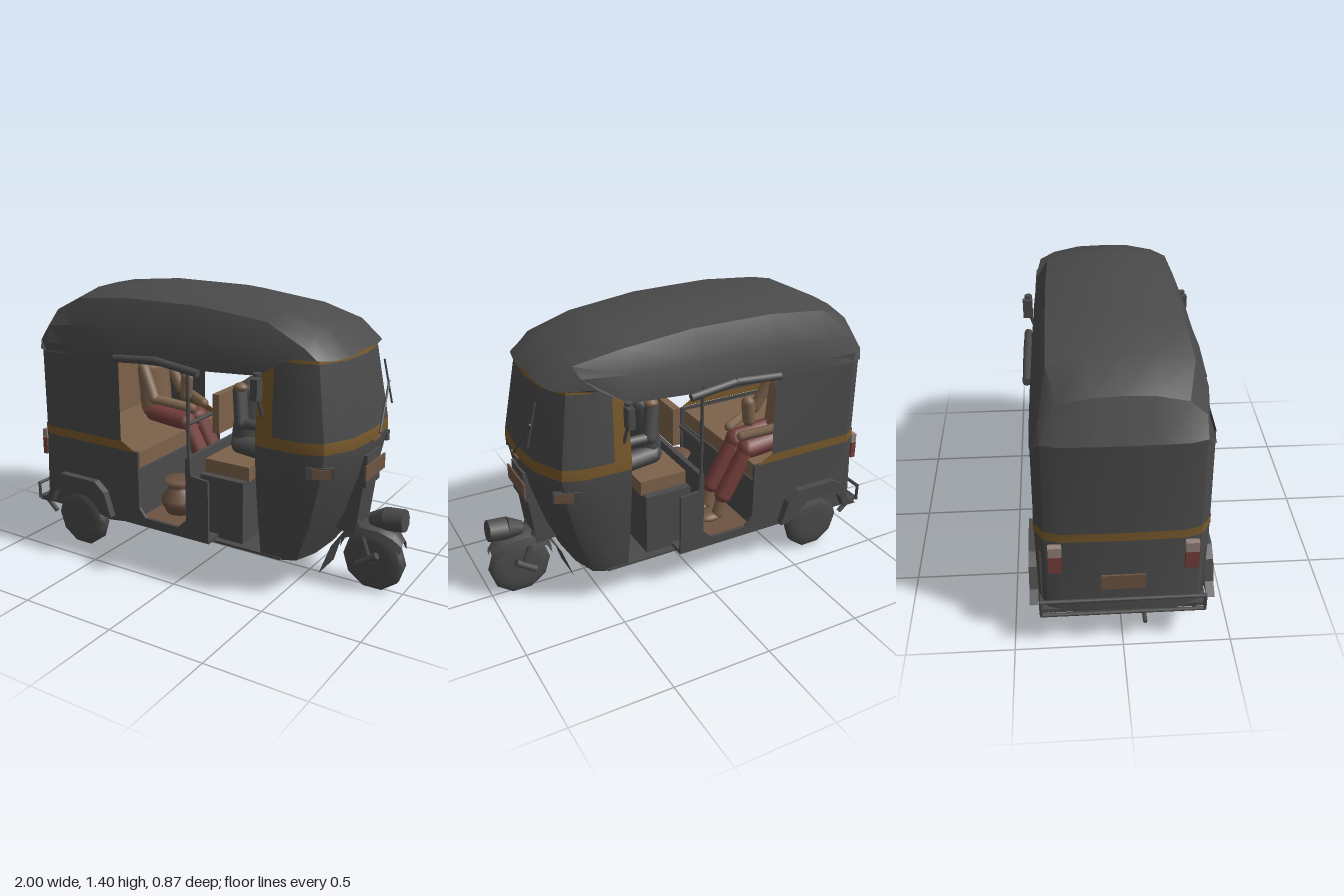
import * as THREE from 'three';
import { toCreasedNormals } from 'three/addons/utils/BufferGeometryUtils.js';

const flat = (name, color) => new THREE.MeshStandardMaterial({ name, color, side: THREE.DoubleSide });

export function createModel() {
  const root = new THREE.Group();
  root.name = 'autoRickshaw';
  const grey = flat('dark grey', 0x4a4a4a), gold = flat('gold', 0x78592b), tan = flat('tan', 0x7c624b),
    red = flat('dull red', 0x743f3b), brown = flat('brown', 0x6e5443), pale = flat('pale lamp', 0x94827a);
  const V = (p) => new THREE.Vector3(...p);

  function add(name, geo, mat, pos = [0, 0, 0], rot = [0, 0, 0], parent = root) {
    const m = new THREE.Mesh(geo, mat);
    m.name = name;
    m.position.set(...pos);
    m.rotation.set(...rot);
    parent.add(m);
    return m;
  }
  // box given by its min and max corners
  const box = (name, a, b, mat) => add(name, new THREE.BoxGeometry(b[0] - a[0], b[1] - a[1], b[2] - a[2]), mat,
    a.map((v, i) => (v + b[i]) / 2));
  // geometry built along y, laid between two points
  function between(name, geo, a, b, mat) {
    const m = add(name, geo, mat, V(a).add(V(b)).multiplyScalar(0.5).toArray());
    m.quaternion.setFromUnitVectors(new THREE.Vector3(0, 1, 0), V(b).sub(V(a)).normalize());
    return m;
  }
  const rod = (name, a, b, r, mat, r2 = r, n = 8) =>
    between(name, new THREE.CylinderGeometry(r2, r, V(a).distanceTo(V(b)), n), a, b, mat);
  const limb = (name, a, b, r, mat) =>
    between(name, new THREE.CapsuleGeometry(r, V(a).distanceTo(V(b)), 3, 8), a, b, mat);
  const ball = (name, c, r, mat, scale = [1, 1, 1]) =>
    add(name, new THREE.SphereGeometry(r, 12, 8), mat, c).scale.set(...scale);
  const plate = (name, pts, depth, mat, z) => add(name, new THREE.ExtrudeGeometry(
    new THREE.Shape(pts.map((p) => new THREE.Vector2(...p))), { depth, bevelEnabled: false }), mat, [0, 0, z]);

  // half rows (left edge to centre line) are mirrored in z and skinned
  function loft(name, halfRows, mats = [grey], pick = () => 0, crease = 0.55) {
    const rows = halfRows.map((h) => [...h, ...h.slice(0, -1).reverse().map(([x, y, z]) => [x, y, -z])]);
    const n = rows[0].length, g = new THREE.BufferGeometry(), index = [];
    for (let i = 0; i < rows.length - 1; i++) {
      for (let j = 0; j < n - 1; j++) {
        const a = i * n + j, b = a + n;
        g.addGroup(index.length, 6, pick(i, Math.min(j, n - 2 - j)));
        index.push(a, a + 1, b, b, a + 1, b + 1);
      }
    }
    g.setAttribute('position', new THREE.Float32BufferAttribute(rows.flat(2), 3));
    g.setIndex(index);
    return add(name, toCreasedNormals(g, crease), mats);
  }

  // canopy roof with rounded rear and front visor
  const section = (x, top, w, low) => [[x, low, w], [x, low + (top - low) * 0.48, w * 0.96],
    [x, top - 0.04, w * 0.8], [x, top - 0.004, w * 0.39], [x, top, 0]];
  loft('canopyRoof', [
    [[-0.9, 1.06, 0.385], [-0.928, 1.1, 0.345], [-0.95, 1.1, 0.27], [-0.954, 1.1, 0.13], [-0.955, 1.1, 0]],
    [[-0.85, 1.05, 0.388], [-0.87, 1.18, 0.345], [-0.87, 1.25, 0.27], [-0.87, 1.28, 0.13], [-0.87, 1.285, 0]],
    section(-0.69, 1.37, 0.39, 1.05), section(-0.39, 1.4, 0.388, 1.06), section(0.03, 1.4, 0.382, 1.07),
    section(0.39, 1.362, 0.37, 1.09),
    [[0.52, 1.17, 0.362], [0.6, 1.235, 0.335], [0.61, 1.27, 0.26], [0.61, 1.298, 0.13], [0.61, 1.302, 0]],
    [[0.57, 1.185, 0.358], [0.66, 1.182, 0.325], [0.72, 1.178, 0.26], [0.742, 1.178, 0.14], [0.745, 1.178, 0]],
  ]);

  // rear body with gold waist band
  const rear = (y, front, back, w) => [[front, y, w], [-0.86, y, w], [back + 0.03, y, w * 0.89], [back + 0.005, y, w * 0.7], [back, y, 0]];
  loft('rearBody', [rear(0.21, -0.29, -0.98, 0.382), rear(0.6, -0.29, -0.956, 0.388)]);
  loft('rearBand', [rear(0.6, -0.3, -0.958, 0.391), rear(0.645, -0.38, -0.958, 0.391)], [gold]);
  loft('rearCurtain', [rear(0.64, -0.39, -0.954, 0.388), rear(1.1, -0.39, -0.954, 0.385)]);

  // front cabin: floor, nose, gold band, pillars and windows
  const ring = (y, f, w) => [[0, 1], [0.2, 1], [0.53, 0.99], [0.77, 0.9], [0.95, 0.52], [1, 0]]
    .map(([t, k]) => [0.39 + (f - 0.39) * t, y, w * k]);
  loft('cabin', [ring(0.19, 0.62, 0), ring(0.19, 0.62, 0.32), ring(0.4, 0.72, 0.353), ring(0.62, 0.79, 0.378),
    ring(0.765, 0.82, 0.388), ring(0.82, 0.815, 0.386), ring(1.165, 0.75, 0.348), ring(1.185, 0.745, 0.346)],
  [grey, gold], (i, j) => (i === 4 || i === 6 || (i === 5 && j === 0) ? 1 : 0));
  box('noseColumn', [0.6, 0.3, -0.08], [0.785, 0.55, 0.08], grey).rotation.z = -0.12;
  box('noseColumnTop', [0.7, 0.54, -0.08], [0.815, 0.7, 0.08], grey);
  box('frontNumberPlate', [0.818, 0.585, -0.115], [0.827, 0.66, 0.115], brown);
  box('noseTrim', [0.815, 0.762, -0.045], [0.826, 0.772, 0.045], brown);
  rod('wiperArm', [0.83, 0.79, -0.02], [0.795, 1, -0.19], 0.006, grey);
  rod('wiperBlade', [0.815, 0.89, -0.19], [0.765, 1.1, -0.19], 0.005, grey);

  // floor pan and seat boxes
  box('floorPan', [-0.97, 0.2, -0.38], [0.13, 0.22, 0.38], grey);
  box('cabFloor', [0.12, 0.188, -0.325], [0.5, 0.2, 0.325], grey);
  box('floorMat', [-0.29, 0.221, -0.36], [0, 0.245, 0.36], brown);
  box('rearSeatBase', [-0.9, 0.22, -0.37], [-0.3, 0.5, 0.37], grey);
  box('rearSeatCushion', [-0.88, 0.5, -0.37], [-0.31, 0.585, 0.37], tan);
  box('rearSeatBack', [-0.92, 0.585, -0.34], [-0.82, 0.95, 0.34], tan);
  box('partition', [0, 0.22, -0.37], [0.025, 0.63, 0.37], grey);
  box('driverSeatBase', [0.02, 0.2, -0.29], [0.27, 0.52, 0.29], grey);
  box('driverSeatCushion', [0.03, 0.515, -0.25], [0.28, 0.59, 0.25], tan);
  box('driverSeatBack', [0.02, 0.7, -0.17], [0.06, 0.9, 0.17], tan);
  rod('seatBackRail', [0.015, 0.8, -0.37], [0.015, 0.8, 0.37], 0.01, grey);

  // wheels
  const tyre = [[0, 0.04], [0.05, 0.043], [0.1, 0.04], [0.14, 0.033], [0.158, 0.015], [0.158, -0.015],
    [0.14, -0.033], [0.1, -0.04], [0.05, -0.043], [0, -0.04]].map((p) => new THREE.Vector2(...p)).reverse();
  const wheel = (name, x, z) => add(name, new THREE.LatheGeometry(tyre, 10), grey, [x, 0.151, z], [Math.PI / 2, Math.PI / 10, 0]);
  wheel('frontWheel', 0.845, 0);

  // parts repeated on both sides
  for (const s of [1, -1]) {
    const z0 = (z, d) => (s > 0 ? z : -z - d);
    wheel('rearWheel', -0.69, s * 0.352);
    plate('rearFender', [[-0.94, 0.22], [-0.88, 0.26], [-0.84, 0.36], [-0.78, 0.4], [-0.55, 0.4], [-0.49, 0.35],
      [-0.45, 0.22], [-0.5, 0.22], [-0.53, 0.29], [-0.59, 0.33], [-0.78, 0.33], [-0.83, 0.29], [-0.86, 0.22]], 0.04, grey, z0(0.383, 0.04));
    plate('sideSill', [[-0.4, 0.215], [0.13, 0.215], [0.13, 0.53], [0.03, 0.54], [0.025, 0.63], [0, 0.63], [0, 0.3], [-0.05, 0.25],
      [-0.25, 0.25], [-0.29, 0.3], [-0.29, 0.6], [-0.4, 0.6]], 0.015, grey, z0(0.37, 0.015));
    rod('doorPost', [0.015, 0.62, s * 0.375], [0.015, 1.1, s * 0.375], 0.009, grey);
    rod('rolledCurtainRear', [-0.4, 1.075, s * 0.4], [-0.15, 1.095, s * 0.4], 0.02, grey);
    rod('rolledCurtainFront', [-0.15, 1.095, s * 0.4], [0.09, 1.065, s * 0.4], 0.02, grey);
    rod('swingArm', [-0.66, 0.15, s * 0.3], [-0.35, 0.2, s * 0.32], 0.022, grey);
    rod('axle', [-0.69, 0.155, s * 0.34], [-0.69, 0.18, s * 0.12], 0.016, grey);
    // mirror and its stem
    box('mirror', [0.39, 0.99, s * 0.41 - 0.025], [0.425, 1.09, s * 0.41 + 0.025], grey);
    rod('mirrorStem', [0.41, 1.1, s * 0.405], [0.41, 1.115, s * 0.405], 0.02, grey);
    rod('mirrorArm', [0.42, 0.9, s * 0.37], [0.41, 1, s * 0.4], 0.009, grey);
    // corner indicator
    add('indicatorHousing', new THREE.BoxGeometry(0.125, 0.055, 0.02), grey, [0.7, 0.678, s * 0.345], [0, s * 0.45, 0]);
    add('indicatorLens', new THREE.BoxGeometry(0.085, 0.045, 0.008), brown, [0.714, 0.678, s * 0.351], [0, s * 0.45, 0]);
    // tail lamp
    box('tailLampRed', [-0.982, 0.45, s * 0.3 - 0.03], [-0.955, 0.54, s * 0.3 + 0.03], red);
    box('tailLampPale', [-0.98, 0.54, s * 0.3 - 0.03], [-0.95, 0.59, s * 0.3 + 0.03], pale);
    // bumper ends
    rod('bumperUpright', [-0.99, 0.2, s * 0.37], [-0.99, 0.29, s * 0.37], 0.008, grey);
    rod('bumperBracket', [-0.99, 0.21, s * 0.34], [-0.9, 0.13, s * 0.34], 0.013, grey);
    rod('frontFork', [0.845, 0.155, s * 0.055], [0.76, 0.38, s * 0.055], 0.013, grey);
    rod('damper', [0.78, 0.13, s * 0.06], [0.88, 0.2, s * 0.06], 0.018, grey);
  }

  // rear bumper, number plate and silencer
  for (const y of [0.205, 0.285]) rod('bumperBar', [-0.99, y, -0.375], [-0.99, y, 0.375], 0.009, grey);
  box('rearNumberPlate', [-0.982, 0.34, -0.1], [-0.974, 0.42, 0.1], brown);
  rod('silencer', [-0.9, 0.15, -0.17], [-0.9, 0.15, 0.18], 0.037, grey, 0.037, 10);
  rod('silencerEnd', [-0.9, 0.15, 0.17], [-0.9, 0.15, 0.255], 0.024, grey);
  rod('exhaustPipe', [-0.9, 0.132, -0.16], [-0.9, 0.132, -0.23], 0.012, grey);
  rod('tailPipe', [-0.88, 0.135, 0.1], [-0.99, 0.135, 0.1], 0.01, grey);

  // front mudguard, mud flap and headlamp
  const guard = [[0.69, 0.26], [0.72, 0.32], [0.79, 0.345], [0.88, 0.34], [0.95, 0.315], [0.99, 0.275]];
  loft('frontMudguard', guard.map(([x, y], i) => {
    const w = [0.065, 0.08, 0.08, 0.072, 0.062, 0.04][i];
    return [[x, y - 0.055, w], [x, y - 0.015, w * 0.85], [x, y, w * 0.35], [x, y, 0]];
  }));
  loft('mudFlap', [[[0.59, 0.04, 0.088], [0.59, 0.04, 0]], [[0.64, 0.19, 0.065], [0.64, 0.19, 0]], [[0.7, 0.28, 0.06], [0.7, 0.28, 0]]]);
  rod('headlampShell', [0.82, 0.355, 0], [0.9, 0.375, 0], 0.035, grey, 0.058, 10);
  rod('headlamp', [0.9, 0.375, 0], [0.99, 0.385, 0], 0.058, grey, 0.055, 10);

  // driver
  limb('driverTorso', [0.13, 0.66, 0], [0.165, 0.9, 0], 0.075, grey).scale.z = 1.5;
  limb('driverNeck', [0.2, 0.97, 0], [0.215, 1.02, 0], 0.032, tan);
  ball('driverHead', [0.235, 1.06, 0], 0.06, tan, [0.95, 1.2, 0.85]);
  ball('driverHair', [0.215, 1.095, 0], 0.062, grey, [1, 0.9, 0.95]);
  for (const s of [1, -1]) {
    limb('driverUpperArm', [0.155, 0.93, s * 0.13], [0.19, 0.78, s * 0.17], 0.036, grey);
    limb('driverForearm', [0.2, 0.78, s * 0.17], [0.33, 0.78, s * 0.17], 0.027, grey);
    ball('driverHand', [0.375, 0.775, s * 0.17], 0.028, tan, [1.4, 0.7, 0.8]);
    ball('shoulderPatch', [0.165, 0.95, s * 0.14], 0.033, tan, [1.1, 0.7, 1]);
    limb('driverThigh', [0.13, 0.635, s * 0.08], [0.34, 0.625, s * 0.1], 0.05, grey);
    limb('driverShin', [0.36, 0.61, s * 0.1], [0.355, 0.28, s * 0.1], 0.035, grey);
    box('driverFoot', [0.33, 0.2, s * 0.1 - 0.03], [0.45, 0.245, s * 0.1 + 0.03], tan);
  }
  rod('handlebar', [0.4, 0.78, -0.22], [0.4, 0.78, 0.22], 0.012, grey);
  rod('steeringColumn', [0.42, 0.78, 0], [0.6, 0.3, 0], 0.025, grey);

  // passenger
  limb('passengerTorso', [-0.58, 0.66, -0.18], [-0.6, 0.88, -0.18], 0.075, tan).scale.z = 1.4;
  ball('passengerHead', [-0.58, 1.04, -0.18], 0.065, tan, [0.95, 1.2, 0.9]);
  ball('passengerHair', [-0.605, 1.065, -0.18], 0.068, grey);
  for (const s of [1, -1]) {
    const z = -0.18 + s * 0.06;
    limb('passengerThigh', [-0.55, 0.64, z], [-0.34, 0.62, z], 0.055, red);
    limb('passengerShin', [-0.33, 0.61, z], [-0.2, 0.38, z], 0.045, red);
    limb('passengerAnkle', [-0.19, 0.36, z], [-0.17, 0.28, z], 0.03, tan);
    ball('passengerFoot', [-0.13, 0.265, z], 0.03, tan, [2, 0.7, 1]);
    limb('passengerUpperArm', [-0.58, 0.9, -0.18 + s * 0.11], [-0.5, 0.74, -0.18 + s * 0.13], 0.032, tan);
    limb('passengerForearm', [-0.49, 0.74, -0.18 + s * 0.13], [-0.3, 0.7, z], 0.026, tan);
  }
  limb('heldBundle', [-0.38, 0.75, -0.18], [-0.37, 0.85, -0.18], 0.035, tan);

  // pot on the passenger floor
  const pot = [[0, 0], [0.07, 0], [0.095, 0.05], [0.095, 0.08], [0.06, 0.13], [0.055, 0.145], [0.078, 0.18], [0, 0.17]];
  add('pot', new THREE.LatheGeometry(pot.map((p) => new THREE.Vector2(...p)), 12), brown, [-0.165, 0.246, 0.2]);

  return root;
}
